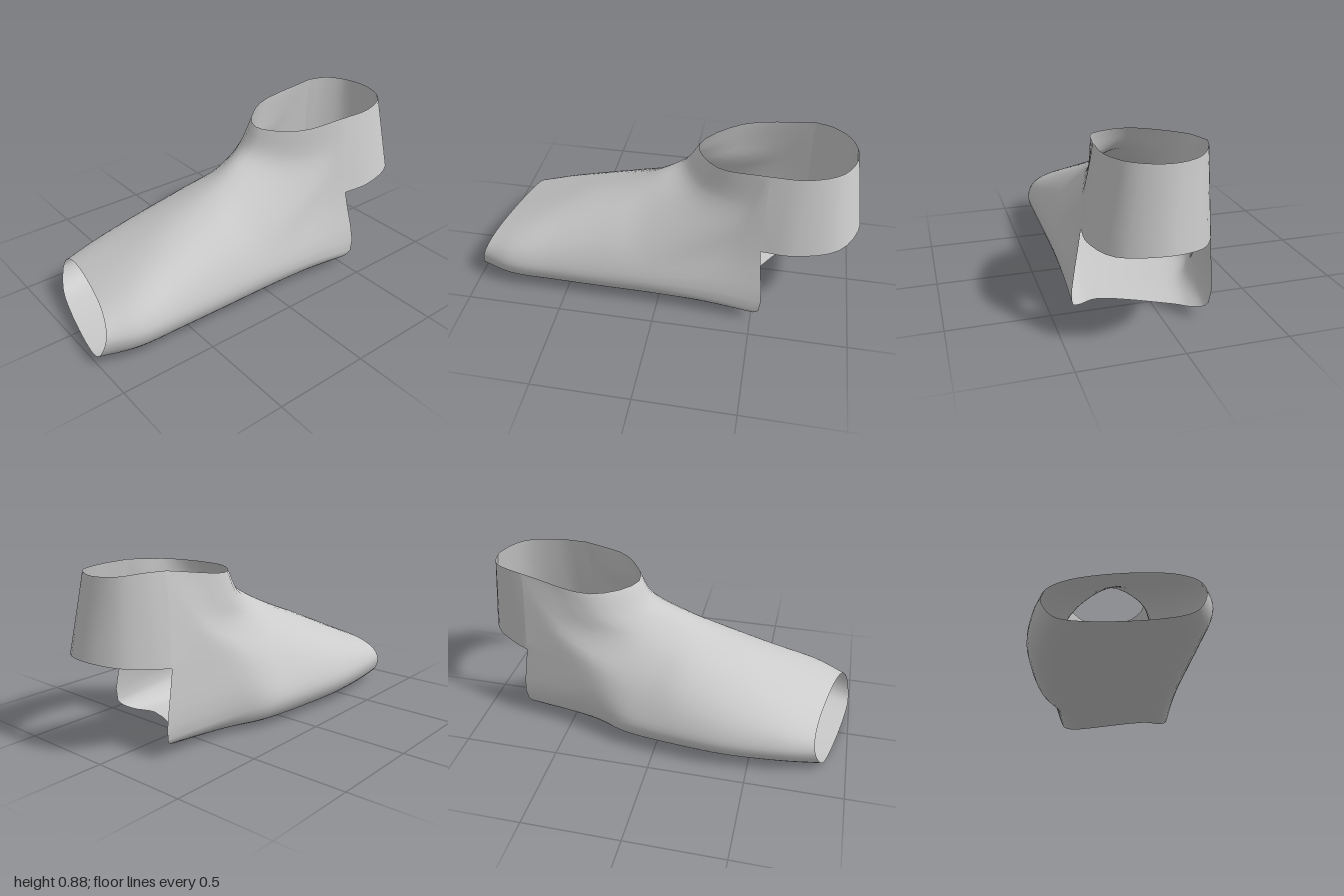
import * as THREE from 'three';
import { mergeGeometries, mergeVertices } from 'three/addons/utils/BufferGeometryUtils.js';

const SUB = 4; // samples between neighbouring key points
const vec = (a) => new THREE.Vector3(...a);
const arc = (keys, n = SUB) => new THREE.CatmullRomCurve3(keys).getPoints((keys.length - 1) * n);
const closed = (keys) => new THREE.CatmullRomCurve3(keys, true).getPoints(keys.length * SUB).slice(0, -1);

// Skin a list of equal-length rings
function skin(rings, wrap) {
  const n = rings[0].length, index = [];
  for (let i = 0; i < rings.length - 1; i++) {
    for (let j = 0; j < (wrap ? n : n - 1); j++) {
      const k = (j + 1) % n, a = i * n + j, b = i * n + k, c = a + n, d = b + n;
      index.push(a, b, c, b, d, c);
    }
  }
  const geo = new THREE.BufferGeometry().setFromPoints(rings.flat());
  geo.setIndex(index);
  return geo;
}

// Foot cross-section: rounded upper and flat sole, on a plane sheared in x and y
function footSection({ z, shear, slant, h, left, right, top, p }) {
  const mid = 0.13;
  const upper = (side, deg) => {
    const t = deg * Math.PI / 180;
    return [side, Math.cos(t) ** p, mid + (h - mid) * Math.sin(t) ** p];
  };
  const L = -1, R = 1;
  const keys = [
    upper(L, 40), upper(L, 62), [R, 0, h], upper(R, 62), upper(R, 40), upper(R, 20), [R, 1, mid],
    [R, 0.87, 0.04], [R, 0.55, 0.005], [L, 0.55, 0.005], [L, 0.87, 0.04], [L, 1, mid], upper(L, 20),
  ];
  return closed(keys.map(([side, s, y]) => {
    const x = top + s * (side < 0 ? left - top : right - top);
    return new THREE.Vector3(x, y, z + shear * x + slant * y);
  }));
}

export function createModel() {
  // Sections from the open toe to the instep
  const rings = [
    { z: 0.95, shear: 0.2, slant: -0.3, h: 0.255, left: -0.365, right: 0.31, top: 0, p: 0.82 },
    { z: 0.75, shear: 0.22, slant: -0.15, h: 0.33, left: -0.4, right: 0.372, top: 0.01, p: 0.9 },
    { z: 0.47, shear: 0.25, slant: 0, h: 0.43, left: -0.42, right: 0.382, top: 0.02, p: 1.02 },
    { z: 0.2, shear: 0.25, slant: 0, h: 0.54, left: -0.4, right: 0.385, top: 0.03, p: 1.12 },
    { z: -0.1, shear: 0.25, slant: 0.2, h: 0.625, left: -0.355, right: 0.388, top: 0.03, p: 1.2 },
  ].map(footSection);

  // Ring where the instep bends up into the ankle
  rings.push(closed([
    [-0.225, 0.62, -0.52], [-0.19, 0.66, -0.27], [0.01, 0.69, -0.085], [0.2, 0.66, -0.18],
    [0.295, 0.62, -0.4], [0.34, 0.38, -0.32], [0.395, 0.11, -0.28], [0.34, 0.028, -0.26],
    [0.24, 0.006, -0.22], [-0.12, 0.006, -0.34], [-0.22, 0.032, -0.36], [-0.275, 0.11, -0.36],
    [-0.26, 0.4, -0.44],
  ].map(vec)));

  // Rear boundary: front of the ankle rim, down to the heel opening, across the sole
  const rear = [
    [-0.18, 0.873, -0.72], [-0.195, 0.812, -0.36], [0.01, 0.8, -0.16], [0.225, 0.82, -0.28],
    [0.29, 0.845, -0.53], [0.35, 0.43, -0.52], [0.405, 0.075, -0.54], [0.36, 0.022, -0.48],
    [0.25, 0.008, -0.42], [-0.09, 0.008, -0.58], [-0.155, 0.035, -0.68], [-0.2, 0.09, -0.76],
    [-0.21, 0.43, -0.73],
  ].map(vec);
  rings.push([
    rear.slice(0, 5), rear.slice(4, 6), rear.slice(5), [rear[12], rear[0]],
  ].flatMap((keys) => arc(keys).slice(0, -1)));

  // Smooth each column of points from toe to rear
  const columns = rings[0].map((_, j) => arc(rings.map((r) => r[j]), 5));
  const foot = skin(columns[0].map((_, i) => columns.map((c) => c[i])), true);

  // Band round the back of the ankle, above the heel opening
  const low = arc([rear[5], ...[
    [0.362, 0.435, -0.68], [0.295, 0.45, -0.9], [0.1, 0.47, -1],
    [-0.08, 0.455, -0.94], [-0.17, 0.44, -0.82],
  ].map(vec), rear[12]]);
  const high = arc([rear[4], ...[
    [0.287, 0.845, -0.71], [0.215, 0.85, -0.87], [0.06, 0.852, -0.94],
    [-0.07, 0.86, -0.91], [-0.145, 0.873, -0.82],
  ].map(vec), rear[0]]);
  const band = skin(Array.from({ length: SUB + 1 }, (_, i) =>
    low.map((p, j) => p.clone().lerp(high[j], i / SUB))), false);

  // Join both so the shading runs smoothly across the ankle sides
  const geo = mergeVertices(mergeGeometries([foot, band]), 1e-4);
  geo.computeVertexNormals();
  const sleeve = new THREE.Mesh(geo, new THREE.MeshStandardMaterial({ color: 0xcccccc, side: THREE.DoubleSide }));
  sleeve.name = 'openToeFootSleeve';

  const group = new THREE.Group();
  group.name = 'footSleeve';
  group.add(sleeve);
  return group;
}
